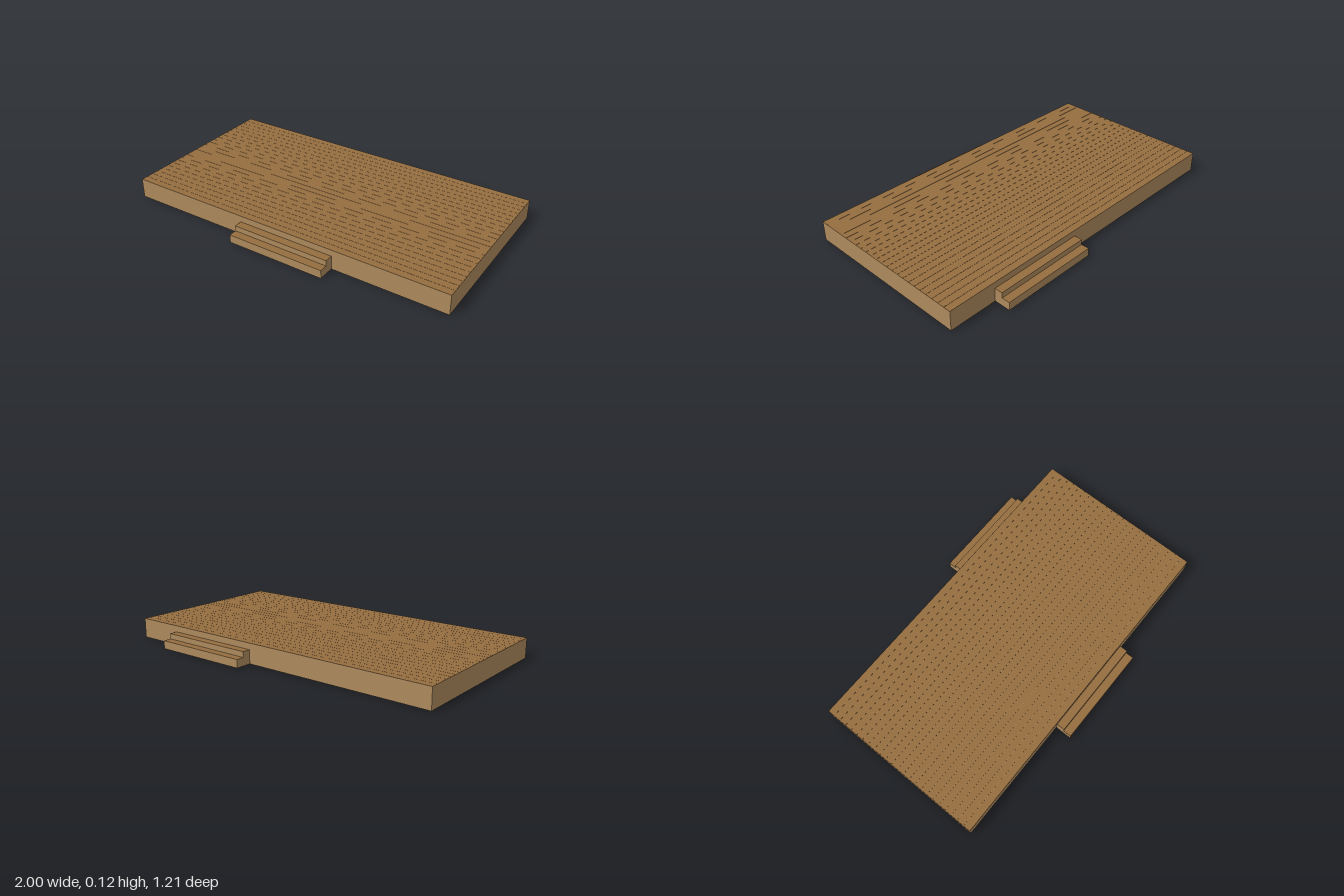
import * as THREE from 'three';

export function createModel() {
  const model = new THREE.Group();
  model.name = 'woodenDeck';

  const frameWood = new THREE.MeshStandardMaterial({ color: 0xae8a5d, side: THREE.DoubleSide });
  frameWood.name = 'light frame wood';
  const plankWood = new THREE.MeshStandardMaterial({ color: 0x956e40, side: THREE.DoubleSide });
  plankWood.name = 'brown plank wood';

  const HALF_X = 1, HALF_Z = 0.51, TOP = 0.117, PLANK = 0.002;

  function add(parent, geometry, material, name, x, y, z) {
    const mesh = new THREE.Mesh(geometry, material);
    mesh.name = name;
    mesh.position.set(x, y, z);
    parent.add(mesh);
    return mesh;
  }

  // Hollow skirt, open underneath
  const skirtY = TOP / 2;
  for (const s of [-1, 1]) {
    const long = add(model, new THREE.PlaneGeometry(2 * HALF_X, TOP), frameWood,
      s > 0 ? 'frontSkirt' : 'backSkirt', 0, skirtY, s * HALF_Z);
    if (s < 0) long.rotation.y = Math.PI;
    const end = add(model, new THREE.PlaneGeometry(2 * HALF_Z, TOP), frameWood,
      s > 0 ? 'leftSkirt' : 'rightSkirt', s * HALF_X, skirtY, 0);
    end.rotation.y = s * Math.PI / 2;
  }

  // Sheet under the boards
  const sheet = add(model, new THREE.PlaneGeometry(2 * HALF_X, 2 * HALF_Z), frameWood,
    'underside', 0, TOP - PLANK, 0);
  sheet.rotation.x = Math.PI / 2;

  // Deck boards with narrow seams
  const boards = new THREE.Group();
  boards.name = 'deckBoards';
  model.add(boards);
  const COUNT = 24, PITCH = 2 * HALF_Z / COUNT;
  const boardGeometry = new THREE.BoxGeometry(2 * HALF_X, PLANK, PITCH - 0.001);
  for (let i = 0; i < COUNT; i++) {
    add(boards, boardGeometry, plankWood, 'deckBoard', 0, TOP - PLANK / 2, -HALF_Z + (i + 0.5) * PITCH);
  }

  // Hollow two-step stair; local +z points away from the deck
  function makeSteps(name, width, x) {
    const steps = new THREE.Group();
    steps.name = name;
    const depth = 0.048, low = 0.048, high = 0.08;

    [[high, low, 0], [low, 0, depth]].forEach(([top, bottom, z]) => {
      add(steps, new THREE.PlaneGeometry(width, top - bottom), frameWood, 'riser',
        0, (top + bottom) / 2, z + depth);
      const tread = add(steps, new THREE.PlaneGeometry(width, depth), plankWood, 'tread',
        0, top, z + depth / 2);
      tread.rotation.x = -Math.PI / 2;
    });

    // Stepped end panels
    const profile = new THREE.Shape([
      [0, 0], [2 * depth, 0], [2 * depth, low], [depth, low], [depth, high], [0, high],
    ].map(([a, b]) => new THREE.Vector2(-a, b)));
    const endGeometry = new THREE.ShapeGeometry(profile);
    for (const s of [-1, 1]) {
      const end = add(steps, endGeometry, frameWood, 'stepEnd', s * width / 2, 0, 0);
      end.rotation.y = Math.PI / 2;
    }
    steps.position.x = x;
    model.add(steps);
    return steps;
  }

  const frontSteps = makeSteps('frontSteps', 0.59, 0.04);
  frontSteps.position.z = HALF_Z;
  const backSteps = makeSteps('backSteps', 0.59, 0.42);
  backSteps.position.z = -HALF_Z;
  backSteps.rotation.y = Math.PI;

  return model;
}
